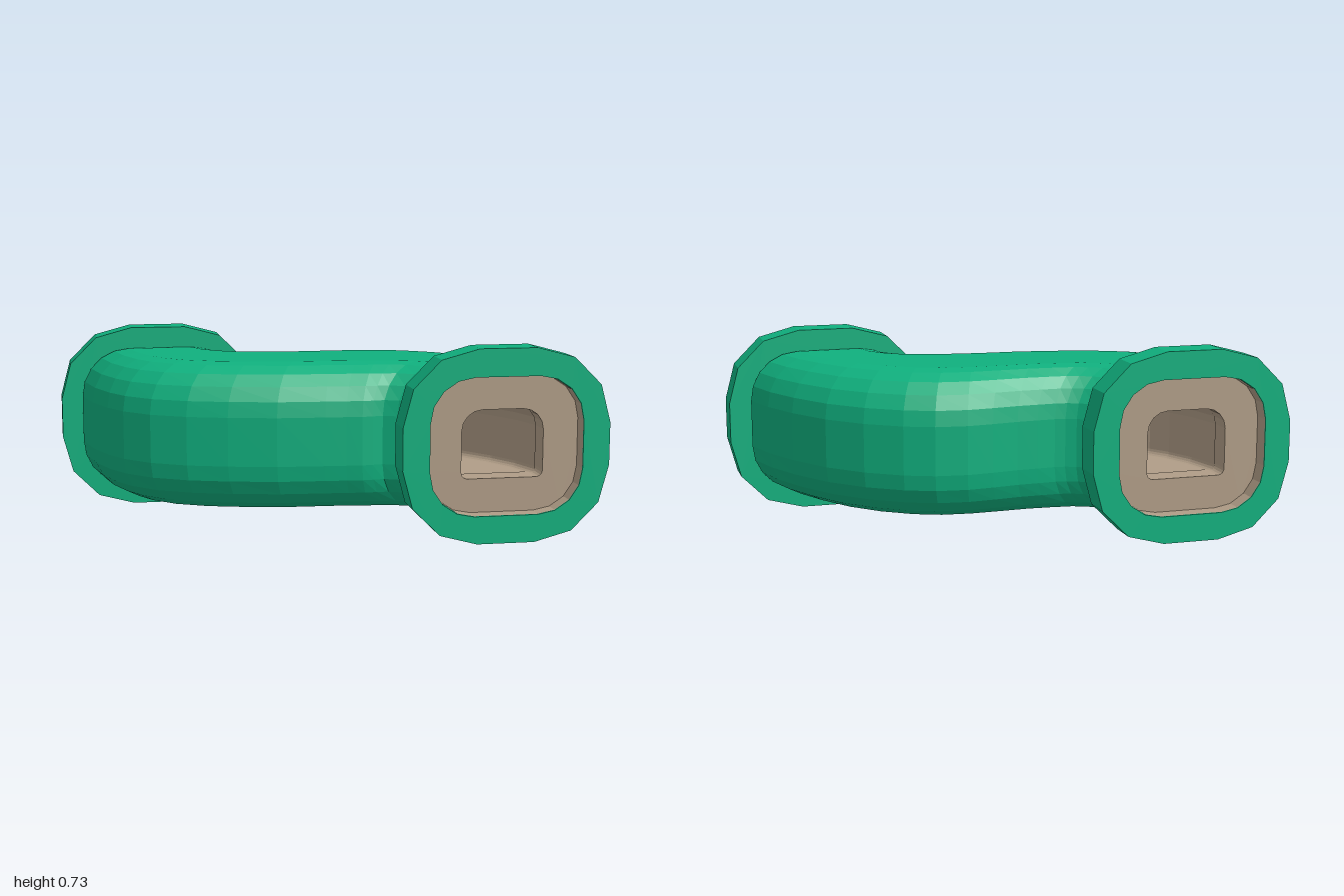
import * as THREE from 'three';

const green = new THREE.MeshStandardMaterial({ color: 0x10b07e });
green.name = 'green paint';
const tan = new THREE.MeshStandardMaterial({ color: 0xb09d87 });
tan.name = 'tan lining';

const MID_Y = 0.365;   // height of the pipe axis
const END_X = 0.603;   // sideways offset of each mouth

// Rounded rectangle, counter-clockwise, with separate top and bottom radii
function outline(w, h, rTop, rBottom, seg) {
  const pts = [];
  const corners = [[1, 1, rTop], [-1, 1, rTop], [-1, -1, rBottom], [1, -1, rBottom]];
  corners.forEach(([sx, sy, r], k) => {
    for (let i = 0; i <= seg; i++) {
      const a = (k + i / seg) * Math.PI / 2;
      pts.push(new THREE.Vector2(
        sx * (w / 2 - r) + r * Math.cos(a),
        sy * (h / 2 - r) + r * Math.sin(a)));
    }
  });
  return pts;
}

// Skin over sections; a station is [ax, az, bx, bz], the two side edges in plan
function loft(stations, section, inward = false) {
  const pos = [], index = [];
  let n = 0;
  for (const [ax, az, bx, bz] of stations) {
    const w = Math.hypot(bx - ax, bz - az);
    const ring = section(w);
    n = ring.length;
    for (const p of ring) {
      const t = p.x / w + 0.5;
      pos.push(ax + (bx - ax) * t, MID_Y + p.y, az + (bz - az) * t);
    }
  }
  for (let i = 0; i < stations.length - 1; i++) {
    for (let j = 0; j < n; j++) {
      const k = (j + 1) % n;
      const a = i * n + j, b = i * n + k, c = a + n, d = b + n;
      if (inward) index.push(a, d, b, a, c, d);
      else index.push(a, b, d, a, d, c);
    }
  }
  const g = new THREE.BufferGeometry();
  g.setAttribute('position', new THREE.Float32BufferAttribute(pos, 3));
  g.setIndex(index);
  const flat = g.toNonIndexed();
  flat.computeVertexNormals();
  return flat;
}

// Plate with a hole, from z0 to z1, centred on a mouth
function ringPlate(outer, hole, z0, z1) {
  const shape = new THREE.Shape(outer);
  shape.holes.push(new THREE.Path(hole));
  const g = new THREE.ExtrudeGeometry(shape, { depth: z1 - z0, bevelEnabled: false });
  return g.translate(END_X, MID_Y, z0);
}

function part(name, geometry, material) {
  const mesh = new THREE.Mesh(geometry, material);
  mesh.name = name;
  return mesh;
}

export function createModel() {
  const model = new THREE.Group();
  model.name = 'pipeBend';

  // S-shaped course of the pipe, from the back right mouth to the front left one
  const course = [
    [-0.915, -0.385, -0.28, -0.41],
    [-0.88, -0.2, -0.255, -0.375],
    [-0.83, -0.06, -0.21, -0.34],
    [-0.775, 0.04, -0.17, -0.325],
    [-0.68, 0.14, -0.13, -0.32],
    [-0.55, 0.215, -0.06, -0.325],
    [-0.4, 0.265, 0.02, -0.33],
    [-0.22, 0.305, 0.12, -0.345],
    [-0.04, 0.32, 0.22, -0.355],
    [0.04, 0.325, 0.34, -0.34],
    [0.1, 0.33, 0.45, -0.295],
    [0.14, 0.325, 0.58, -0.205],
    [0.18, 0.318, 0.7, -0.08],
    [0.23, 0.34, 0.8, 0.08],
    [0.265, 0.37, 0.87, 0.23],
    [0.28, 0.41, 0.915, 0.385],
  ];
  model.add(part('pipe', loft(course, w => outline(w, 0.565, 0.19, 0.19, 5)), green));

  // Tunnel inside, half as wide as the pipe
  const inner = course.map(([ax, az, bx, bz]) => [
    ax * 0.75 + bx * 0.25, az * 0.75 + bz * 0.25,
    ax * 0.25 + bx * 0.75, az * 0.25 + bz * 0.75]);
  model.add(part('tunnel', loft(inner, w => outline(w, 0.265, 0.08, 0.025, 4), true), tan));

  // Both mouths: flange, recess lining and recessed plate
  const flangeGeo = ringPlate(outline(0.79, 0.73, 0.285, 0.285, 3),
    outline(0.585, 0.52, 0.17, 0.17, 4), 0.41, 0.535);
  const plateGeo = ringPlate(outline(0.615, 0.555, 0.19, 0.19, 5),
    outline(0.315, 0.26, 0.08, 0.025, 4), 0.37, 0.47);
  const half = 0.2905;
  const liningGeo = loft([0.469, 0.534].map(z => [END_X - half, z, END_X + half, z]),
    w => outline(w, 0.516, 0.168, 0.168, 4), true);

  for (const [name, turn] of [['frontMouth', 0], ['backMouth', Math.PI]]) {
    const mouth = new THREE.Group();
    mouth.name = name;
    mouth.add(part('flange', flangeGeo, green));
    mouth.add(part('recessPlate', plateGeo, tan));
    mouth.add(part('recessLining', liningGeo, tan));
    mouth.rotation.y = turn;
    model.add(mouth);
  }
  return model;
}
